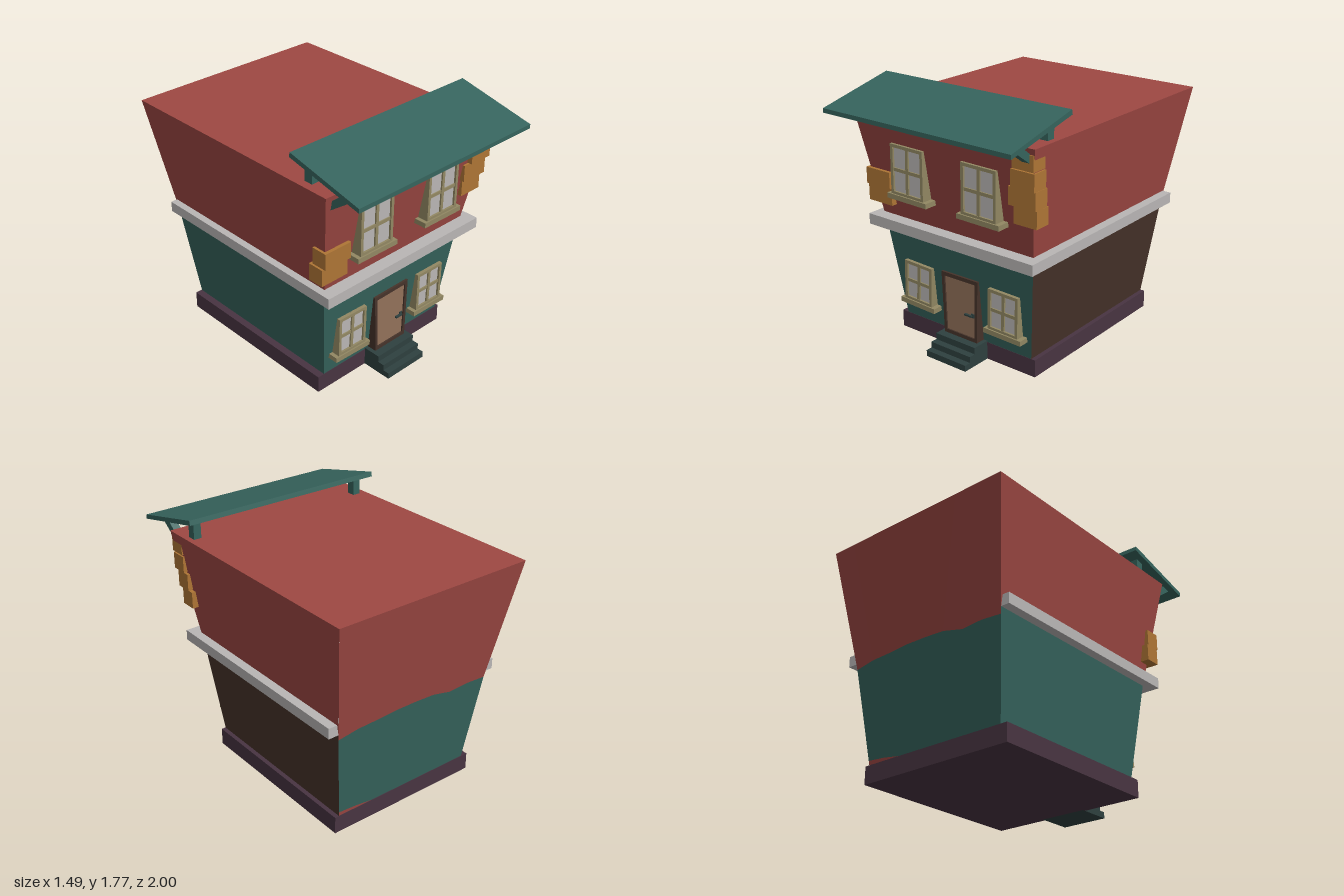
import * as THREE from 'three';

const mat = (name, color) => Object.assign(new THREE.MeshStandardMaterial({ color }), { name });

export function createModel() {
  const red = mat('red plaster', 0x9e4843), teal = mat('teal', 0x36645d);
  const brown = mat('dark brown', 0x46332a), plum = mat('plum stone', 0x483441);
  const pale = mat('pale grey', 0xb9b6b5), orange = mat('orange brick', 0xae7535);
  const beige = mat('beige wood', 0x928863), tan = mat('tan door', 0x92715a);
  const slate = mat('dark slate', 0x2e403f);
  const house = new THREE.Group();
  house.name = 'house';

  // Box given by its minimum and maximum on each axis
  function box(name, m, x0, x1, y0, y1, z0, z1, parent = house) {
    const mesh = new THREE.Mesh(new THREE.BoxGeometry(x1 - x0, y1 - y0, z1 - z0), m);
    mesh.position.set((x0 + x1) / 2, (y0 + y1) / 2, (z0 + z1) / 2);
    mesh.name = name;
    parent.add(mesh);
    return mesh;
  }

  // Side profile of [z, y] points extruded from x0 to x1
  function slab(name, m, pts, x0, x1) {
    const shape = new THREE.Shape(pts.map(([z, y]) => new THREE.Vector2(-z, y)));
    const geo = new THREE.ExtrudeGeometry(shape, { depth: x1 - x0, bevelEnabled: false });
    geo.rotateY(Math.PI / 2);
    const mesh = new THREE.Mesh(geo, m);
    mesh.position.x = x0;
    mesh.name = name;
    house.add(mesh);
  }

  // Walls flare outward: left x, right x, back z, front z at three heights
  const rings = [
    [0.12, -0.55, 0.514, -0.763, 0.52],
    [0.8, -0.625, 0.592, -0.853, 0.607],
    [1.6, -0.744, 0.71, -1.0, 0.75],
  ];
  const corners = { fl: [1, 4], fr: [2, 4], br: [2, 3], bl: [1, 3] };
  function wallPoint(c, y) {
    const [a, b] = y <= 0.8 ? [rings[0], rings[1]] : [rings[1], rings[2]];
    const t = (y - a[0]) / (b[0] - a[0]);
    const [i, j] = corners[c];
    return new THREE.Vector3(a[i] + (b[i] - a[i]) * t, y, a[j] + (b[j] - a[j]) * t);
  }
  function facet(name, m, pts) {
    const geo = new THREE.BufferGeometry().setFromPoints(pts);
    geo.computeVertexNormals();
    const mesh = new THREE.Mesh(geo, m);
    mesh.name = name;
    house.add(mesh);
  }
  // Wall strip from corner a to corner b between lists of lower and upper heights
  function wall(name, m, a, b, low, high) {
    const n = low.length - 1, pts = [];
    const p = (u, y) => wallPoint(a, y).lerp(wallPoint(b, y), u);
    for (let i = 0; i < n; i++) {
      const u = i / n, v = (i + 1) / n;
      const b0 = p(u, low[i]), b1 = p(v, low[i + 1]), t0 = p(u, high[i]), t1 = p(v, high[i + 1]);
      pts.push(b0, b1, t1, b0, t1, t0);
    }
    facet(name, m, pts);
  }
  [['front', 'fl', 'fr', teal], ['right side', 'fr', 'br', brown], ['left side', 'bl', 'fl', teal]]
    .forEach(([n, a, b, m]) => {
      wall('lower ' + n + ' wall', m, a, b, [0.12, 0.12], [0.8, 0.8]);
      wall('upper ' + n + ' wall', red, a, b, [0.8, 0.8], [1.6, 1.6]);
    });

  // Back wall has a wavy paint edge and a bare patch at one foot
  const wave = [0.76, 0.783, 0.788, 0.798, 0.797, 0.79, 0.755, 0.765, 0.755];
  const foot = wave.map((_, i) => [0.15, 0.14][i] ?? 0.12);
  wall('lower back wall', teal, 'br', 'bl', foot, wave);
  wall('upper back wall', red, 'br', 'bl', wave, wave.map(() => 1.6));
  wall('bare back patch', red, 'br', 'bl', [0.12, 0.12, 0.12, 0.12, 0.12, 0.12, 0.12, 0.12, 0.12], foot);
  const top = ['fl', 'fr', 'br', 'bl'].map(c => wallPoint(c, 1.6));
  facet('flat roof', red, [top[0], top[1], top[2], top[0], top[2], top[3]]);

  // Plinth, trim band and front steps
  box('plinth', plum, -0.6, 0.545, 0, 0.12, -0.766, 0.522);
  box('trim band', pale, -0.685, 0.665, 0.8, 0.873, -0.852, 0.71);
  slab('front steps', slate, [[0.5, 0], [0.742, 0], [0.742, 0.043], [0.695, 0.043], [0.695, 0.085],
    [0.647, 0.085], [0.647, 0.13], [0.5, 0.13]], -0.178, 0.155);

  // Sloping canopy with posts and braces
  slab('canopy', teal, [[1, 1.612], [1, 1.641], [0.447, 1.77], [0.44, 1.738]], -0.736, 0.741);
  for (const x of [-0.664, 0.644]) {
    box('canopy post', teal, x - 0.027, x + 0.027, 1.59, 1.725, 0.52, 0.58);
    slab('canopy brace', teal, [[0.7, 1.475], [0.92, 1.635], [0.86, 1.655], [0.7, 1.53]], x - 0.027, x + 0.027);
  }

  // Exposed corner bricks: x0, x1, y0, y1, front z
  [
    [0.545, 0.7, 1.46, 1.56, 0.75], [0.527, 0.7, 1.338, 1.45, 0.742],
    [0.49, 0.69, 1.214, 1.33, 0.717], [0.508, 0.68, 1.092, 1.207, 0.69],
    [-0.7, -0.495, 1.078, 1.19, 0.7], [-0.708, -0.502, 0.957, 1.072, 0.677],
  ].forEach(([x0, x1, y0, y1, z]) => box('corner brick', orange, x0, x1, y0, y1, z - 0.112, z));

  // Four-pane window with a sill; z is the front of the frame
  function makeWindow(name, cx, cy, w, h, z, tilt) {
    const g = new THREE.Group();
    g.name = name;
    const x = w / 2, y = h / 2, t = 0.021, d = -0.085;
    box('panes', pale, -x + 0.005, x - 0.005, -y, y - 0.005, d, -0.014, g);
    for (const s of [-1, 1]) {
      const c = s * (x - t / 2);
      box('side frame', beige, c - t / 2, c + t / 2, -y, y, d, 0, g);
    }
    box('top frame', beige, -x, x, y - t, y, d, 0, g);
    box('bottom frame', beige, -x, x, -y, -y + t, d, 0, g);
    box('upright bar', beige, -0.011, 0.011, -y, y, d, -0.003, g).rotation.z = tilt;
    box('cross bar', beige, -x, x, -0.011, 0.011, d, -0.005, g);
    box('sill', beige, -x - 0.028, x + 0.032, -y - 0.03, -y + 0.004, d, 0.01, g);
    g.position.set(cx, cy, z);
    g.rotation.z = tilt;
    house.add(g);
  }
  makeWindow('upper window', -0.309, 1.238, 0.272, 0.335, 0.733, -0.01);
  makeWindow('upper window', 0.274, 1.238, 0.272, 0.335, 0.733, -0.01);
  makeWindow('lower window', -0.371, 0.413, 0.238, 0.282, 0.6, -0.03);
  makeWindow('lower window', 0.347, 0.413, 0.238, 0.284, 0.6, -0.015);

  // Door with a frame slightly wider at the top
  const outline = [[-0.15, 0.13], [0.126, 0.13], [0.139, 0.566], [-0.166, 0.563]];
  const inner = [[-0.13, 0.155], [0.105, 0.155], [0.116, 0.54], [-0.142, 0.536]];
  const vec = a => a.map(([x, y]) => new THREE.Vector2(x, y));
  const frameShape = new THREE.Shape(vec(outline));
  frameShape.holes.push(new THREE.Path(vec(inner)));
  [['door frame', brown, frameShape, 0.592], ['door', tan, new THREE.Shape(vec(inner)), 0.582]]
    .forEach(([name, m, shape, z]) => {
      const mesh = new THREE.Mesh(new THREE.ExtrudeGeometry(shape, { depth: 0.08, bevelEnabled: false }), m);
      mesh.position.z = z - 0.08;
      mesh.name = name;
      house.add(mesh);
    });
  box('handle plate', slate, 0.078, 0.1, 0.3, 0.327, 0.58, 0.59);
  box('handle lever', slate, 0.032, 0.09, 0.308, 0.319, 0.588, 0.604);

  return house;
}
